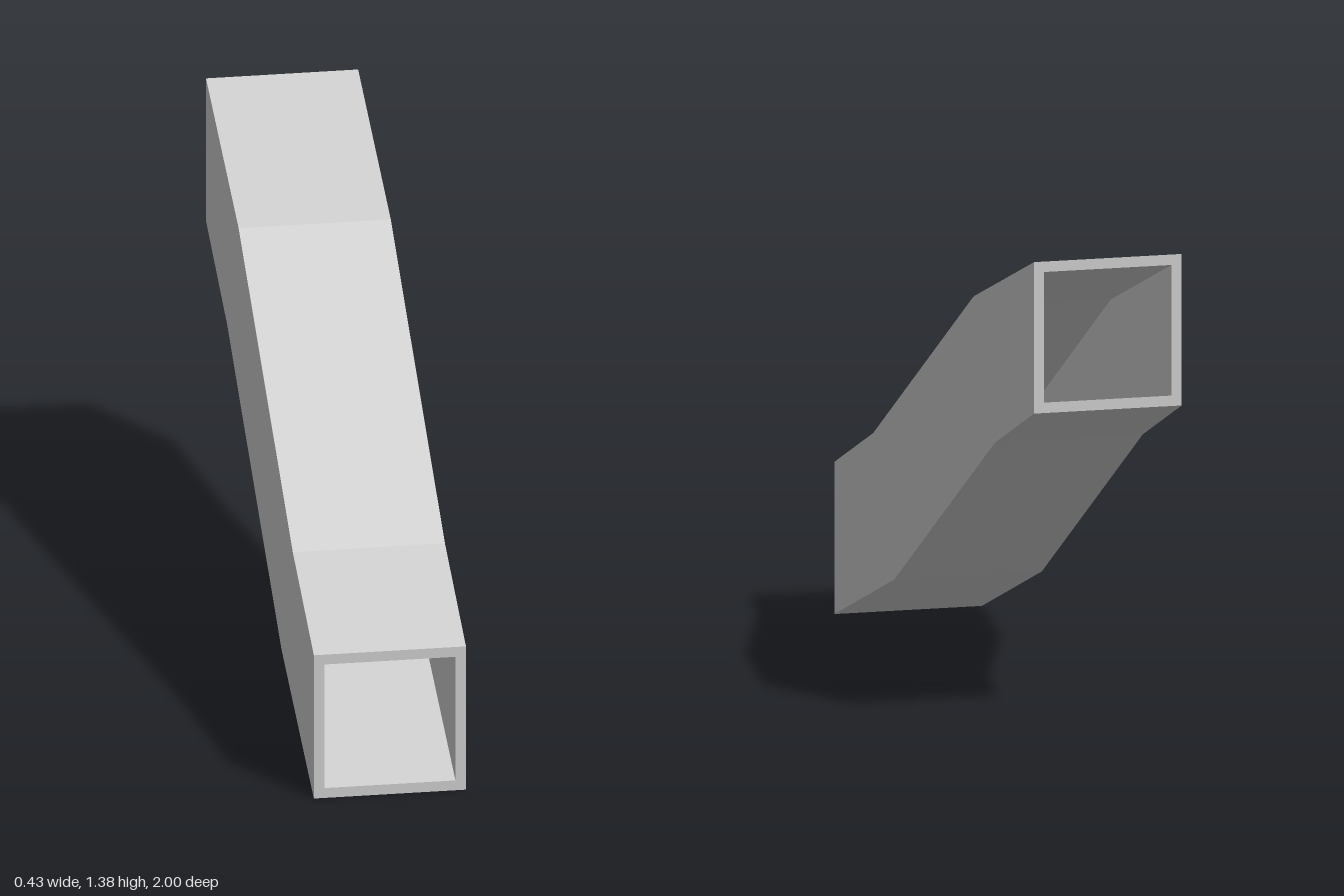
import * as THREE from 'three';

const HALF_WIDTH = 0.217;
const WALL = 0.03;

// Stations from front to back: [z, y] along the floor and the roof of the duct
const FLOOR = [[1, 0], [0.4, 0.21], [-0.61, 0.79], [-1, 0.945]];
const ROOF = [[1, 0.437], [0.61, 0.592], [-0.395, 1.17], [-1, 1.38]];

// Four-cornered section at station i, shrunk by inset
function section(i, inset) {
  const w = HALF_WIDTH - inset;
  const [zf, yf] = FLOOR[i];
  const [zr, yr] = ROOF[i];
  return [
    [-w, yf + inset, zf],
    [w, yf + inset, zf],
    [w, yr - inset, zr],
    [-w, yr - inset, zr],
  ];
}

// Joins consecutive sections, and the last to the first, with flat quads
function loftClosed(sections) {
  const positions = [];
  sections.forEach((ring, s) => {
    const next = sections[(s + 1) % sections.length];
    for (let j = 0; j < 4; j++) {
      const k = (j + 1) % 4;
      positions.push(...ring[j], ...next[j], ...next[k]);
      positions.push(...ring[j], ...next[k], ...ring[k]);
    }
  });
  const geometry = new THREE.BufferGeometry();
  geometry.setAttribute('position', new THREE.Float32BufferAttribute(positions, 3));
  geometry.computeVertexNormals();
  return geometry;
}

export function createModel() {
  const group = new THREE.Group();
  group.name = 'bentDuct';

  // Outer skin front to back, rear rim, inner skin back to front, front rim
  const stations = [0, 1, 2, 3];
  const outer = stations.map((i) => section(i, 0));
  const inner = stations.map((i) => section(i, WALL)).reverse();

  const duct = new THREE.Mesh(
    loftClosed([...outer, ...inner]),
    new THREE.MeshStandardMaterial({ color: 0xcccccc, flatShading: true })
  );
  duct.name = 'squareDuct';
  group.add(duct);
  return group;
}
